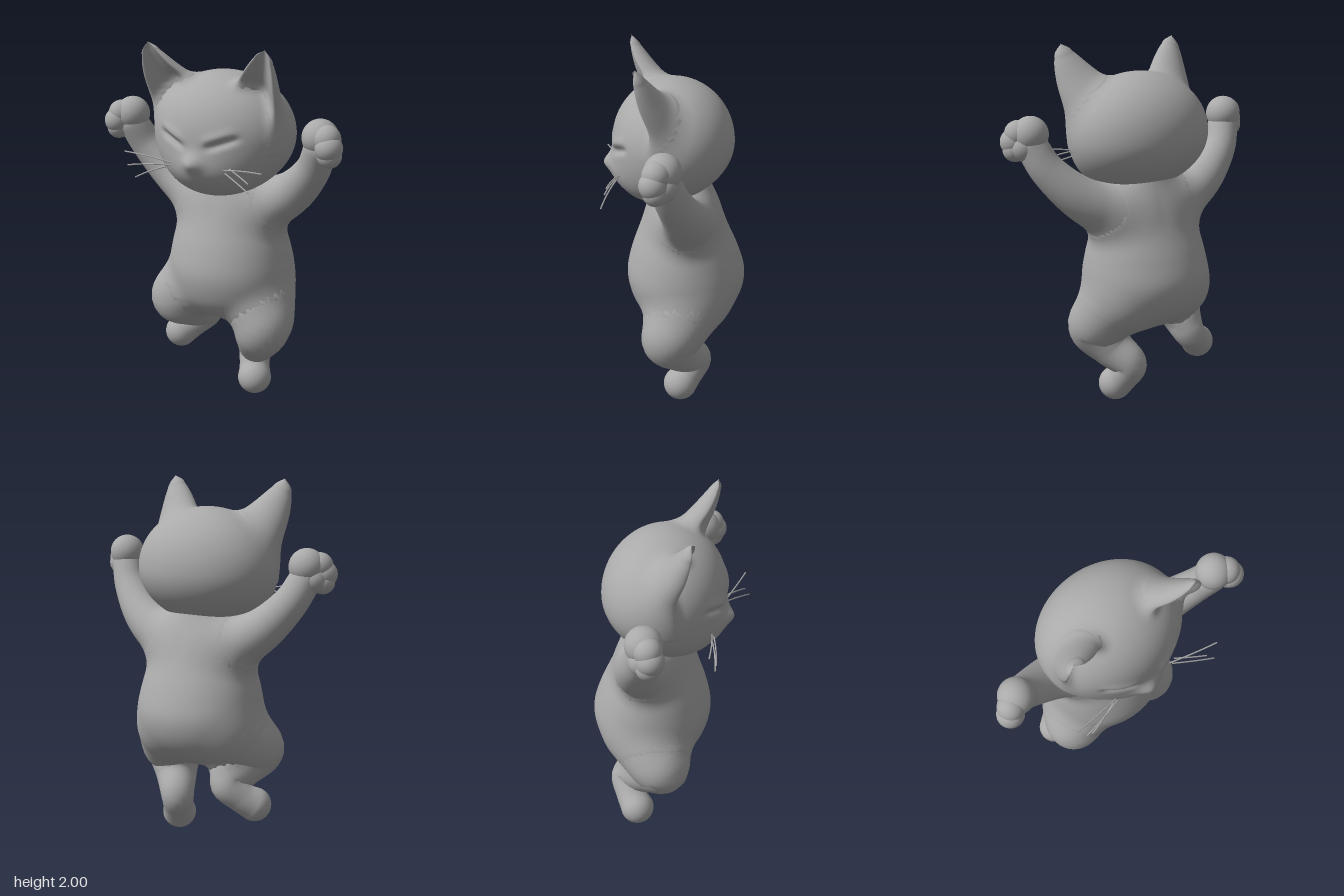
import * as THREE from 'three';

const V = (x, y, z) => new THREE.Vector3(x, y, z);
const spline = points => new THREE.CatmullRomCurve3(points, false, 'catmullrom', 0.5);
const ringOf = (n, f) => Array.from({ length: n }, (_, j) => f(j / n * Math.PI * 2));

// Smooth skin over rings of points; rings wrap, so there is no seam.
function loft(rings) {
  const n = rings[0].length, index = [];
  for (let i = 0; i < rings.length - 1; i++) {
    for (let j = 0; j < n; j++) {
      const a = i * n + j, b = i * n + (j + 1) % n, c = a + n, d = b + n;
      index.push(a, b, c, b, d, c);
    }
  }
  const g = new THREE.BufferGeometry().setFromPoints(rings.flat());
  g.setIndex(index);
  g.computeVertexNormals();
  return g;
}

// Signed distance from p to a skin, taken at its nearest vertex.
function distance(p, g) {
  const a = g.attributes.position.array, n = g.attributes.normal.array;
  let best = Infinity, k = 0;
  for (let i = 0; i < a.length; i += 3) {
    const x = p.x - a[i], y = p.y - a[i + 1], z = p.z - a[i + 2], d = x * x + y * y + z * z;
    if (d < best) { best = d; k = i; }
  }
  return (p.x - a[k]) * n[k] + (p.y - a[k + 1]) * n[k + 1] + (p.z - a[k + 2]) * n[k + 2];
}

// Copy of a skin, swollen along its normals into a soft fillet where it meets the others.
function blend(part, others, k) {
  const g = part.clone(), pos = g.attributes.position, v = V(), n = V(), p = V();
  for (const other of others) other.computeBoundingSphere();
  for (let i = 0; i < pos.count; i++) {
    v.fromBufferAttribute(pos, i);
    n.fromBufferAttribute(part.attributes.normal, i);
    const near = others.filter(o => o.boundingSphere.distanceToPoint(v) < k);
    let t = 0;
    for (let step = 0; step < 6 && near.length; step++) {
      p.copy(v).addScaledVector(n, t);
      const d = Math.min(...near.map(o => distance(p, o)));
      const h = Math.max(k - Math.abs(t - d), 0) / k;
      const gap = Math.min(t, d) - h * h * k / 4;
      t = THREE.MathUtils.clamp(t - gap, 0, 0.4 * k);
      if (Math.abs(gap) < 0.0003) break;
    }
    pos.setXYZ(i, v.x + n.x * t, v.y + n.y * t, v.z + n.z * t);
  }
  g.computeVertexNormals();
  return g;
}

// Round-ended limb through points [x, y, z, radius].
function limb(points, steps = 48) {
  const path = spline(points.map(p => V(p[0], p[1], p[2])));
  const radii = spline(points.map(p => V(p[3], 0, 0)));
  const rings = [];
  let normal = V(0.3, 0.2, 1);
  const add = (u, reach, scale) => {
    const tangent = path.getTangent(u), r = radii.getPoint(u).x;
    const center = path.getPoint(u).addScaledVector(tangent, reach * r);
    normal = normal.clone().addScaledVector(tangent, -normal.dot(tangent)).normalize();
    const bi = tangent.clone().cross(normal);
    rings.push(ringOf(32, a => center.clone()
      .addScaledVector(normal, Math.cos(a) * r * scale).addScaledVector(bi, Math.sin(a) * r * scale)));
  };
  const cap = (u, a) => add(u, Math.sin(a), Math.max(Math.cos(a), 0.002));
  for (let k = 10; k > 0; k--) cap(0, -k * Math.PI / 20);
  for (let i = 0; i <= steps; i++) add(i / steps, 0, 1);
  for (let k = 1; k <= 10; k++) cap(1, k * Math.PI / 20);
  return loft(rings);
}

// Pear-shaped torso from elliptical sections [y, half width, half depth, z].
function torso() {
  const s = [
    [0.44, 0.002, 0.002, -0.06], [0.455, 0.16, 0.12, -0.06], [0.5, 0.27, 0.21, -0.06],
    [0.57, 0.335, 0.278, -0.065], [0.66, 0.36, 0.318, -0.07], [0.76, 0.36, 0.328, -0.07],
    [0.88, 0.34, 0.297, -0.065], [1.0, 0.31, 0.25, -0.06], [1.1, 0.282, 0.21, -0.058],
    [1.2, 0.24, 0.175, -0.055], [1.3, 0.17, 0.14, -0.05]];
  const size = spline(s.map(p => V(p[1], p[0], p[2]))), shift = spline(s.map(p => V(p[3], 0, 0)));
  return loft(Array.from({ length: 71 }, (_, i) => {
    const q = size.getPoint(i / 70), cz = shift.getPoint(i / 70).x;
    return ringOf(80, a => V(-0.01 + Math.cos(a) * q.x, q.y, cz - Math.sin(a) * q.z));
  }));
}

// Raised muzzle and cheeks, and closed slanting eyes pressed into the face.
function faceRelief(x, y) {
  const ax = Math.abs(x), bell = t => Math.exp(-t * t);
  let d = 0.036 * bell(Math.hypot(x / 0.055, (y - 1.4) / 0.045));
  d += 0.032 * bell(Math.hypot(x / 0.18, (y - 1.34) / 0.1));
  const ang = Math.atan2(0.06, 0.16), dx = ax - 0.07, dy = y - 1.487;
  const u = dx * Math.cos(ang) + dy * Math.sin(ang);
  const v = dy * Math.cos(ang) - dx * Math.sin(ang);
  const along = Math.exp(-(((u - 0.085) / 0.085) ** 4));
  return d + along * (0.01 * bell((v - 0.03) / 0.028) - 0.024 * bell((v + 0.004) / 0.02));
}

// Wide round head, its lower half pushed forward.
function skull() {
  return loft(Array.from({ length: 121 }, (_, i) => {
    const t = i / 120 * Math.PI, r = Math.max(Math.sin(t), 0.001), ny = -Math.cos(t);
    const y = 1.518 + 0.333 * ny, lean = ny < 0 ? 0.09 * ny * ny : 0;
    return ringOf(170, a => {
      const nz = -Math.sin(a) * r, x = Math.cos(a) * r * 0.4;
      const front = THREE.MathUtils.smoothstep(nz, 0.1, 0.5);
      return V(x, y, nz * 0.328 + lean + front * faceRelief(x, y));
    });
  }));
}

// Pointed ear with a rim around a hollow front.
function ear(side) {
  const mid = spline([
    V(0.235, 1.63, 0.04), V(0.268, 1.74, 0.075), V(0.312, 1.85, 0.145), V(0.343, 1.94, 0.19), V(0.355, 2.0, 0.21)]);
  const size = spline([
    V(0.16, 0.15, 0), V(0.142, 0.122, 0), V(0.1, 0.085, 0), V(0.055, 0.046, 0), V(0.001, 0.001, 0)]);
  const rings = [], steps = 36;
  for (let i = 0; i <= steps; i++) {
    const t = 1 - (1 - i / steps) ** 1.6, c = mid.getPoint(t), s = size.getPoint(t);
    const round = t > 0.75 ? Math.sqrt(Math.max(0, 1 - ((t - 0.75) / 0.25) ** 2)) / (1 - (t - 0.75) * 2.2) : 1;
    const hw = Math.max(s.x * round, 0.0005), depth = Math.max(s.y * round, 0.0005);
    const tilt = THREE.MathUtils.lerp(-0.62, -0.25, t);
    const ring = ringOf(56, a => {
      const k = Math.cos(a), f = -Math.sin(a);
      const z = f < 0 ? f * depth : depth * (f - 1.4 * f ** 3);
      return V(side * (c.x + k * hw * Math.cos(tilt)), c.y + k * hw * Math.sin(tilt), c.z + z + 0.25 * depth);
    });
    rings.push(side < 0 ? ring.reverse() : ring);
  }
  return loft(rings);
}

const arm = (side, dz) => limb([
  [0.08, 1.08, -0.06, 0.155], [0.24, 1.135, -0.06, 0.142], [0.4, 1.23, -0.03 + dz * 0.5, 0.115],
  [0.535, 1.37, 0.03 + dz, 0.093], [0.6, 1.5, 0.08 + dz, 0.085]].map(p => [p[0] * side, p[1], p[2], p[3]]));

export function createModel() {
  const grey = new THREE.MeshStandardMaterial({ color: 0xaaaaaa });
  grey.name = 'grey';
  const model = new THREE.Group();
  model.name = 'cat';
  const add = (name, geometry) => {
    const m = new THREE.Mesh(geometry, grey);
    m.name = name;
    model.add(m);
    return m;
  };

  // Body and limbs, the right leg lifted higher
  const body = torso();
  const limbs = {
    leftArm: arm(1, 0),
    rightArm: arm(-1, -0.055),
    leftLeg: limb([
      [0.17, 0.6, -0.11, 0.15], [0.235, 0.51, -0.02, 0.165], [0.245, 0.43, 0.035, 0.157],
      [0.185, 0.32, -0.03, 0.118], [0.12, 0.235, -0.115, 0.094], [0.14, 0.15, -0.075, 0.086], [0.165, 0.098, -0.03, 0.095]]),
    rightLeg: limb([
      [-0.2, 0.63, -0.1, 0.15], [-0.285, 0.565, 0, 0.16], [-0.295, 0.52, 0.045, 0.155],
      [-0.265, 0.44, -0.05, 0.118], [-0.24, 0.375, -0.165, 0.092], [-0.31, 0.3, -0.13, 0.083], [-0.365, 0.255, -0.08, 0.093]])
  };
  add('body', blend(body, Object.values(limbs), 0.1));
  for (const [name, g] of Object.entries(limbs)) add(name, blend(g, [body], 0.1));

  // Balled paws
  for (const side of [1, -1]) {
    const balls = [[0.603, 1.562, 0.085, 0.096], [0.658, 1.565, 0.12, 0.072],
      [0.676, 1.522, 0.135, 0.072], [0.676, 1.482, 0.125, 0.064], [0.64, 1.495, 0.09, 0.075]];
    for (const [x, y, z, r] of balls) {
      add('paw', new THREE.SphereGeometry(r, 32, 24)).position.set(x * side, y, z + (side < 0 ? -0.055 : 0));
    }
  }

  // Head with ears
  const head = skull(), ears = [ear(1), ear(-1)];
  add('head', blend(head, ears, 0.06)).position.x = -0.01;
  for (const g of ears) add('ear', blend(g, [head], 0.06)).position.x = -0.01;

  // Whiskers: root, then tip
  const whiskers = [
    [0.16, 1.378, 0.32, 0.42, 1.405, 0.365], [0.19, 1.388, 0.315, 0.35, 1.345, 0.375], [0.17, 1.365, 0.325, 0.39, 1.285, 0.395],
    [-0.18, 1.38, 0.31, -0.45, 1.415, 0.325], [-0.18, 1.367, 0.32, -0.41, 1.35, 0.355], [-0.2, 1.355, 0.315, -0.37, 1.285, 0.345]];
  for (const [x, y, z, X, Y, Z] of whiskers) {
    const curve = new THREE.QuadraticBezierCurve3(
      V(x, y, z - 0.02), V((x + X) / 2, (y + Y) / 2 + 0.012, (z + Z) / 2), V(X, Y, Z));
    add('whisker', new THREE.TubeGeometry(curve, 12, 0.004, 6));
  }
  return model;
}
